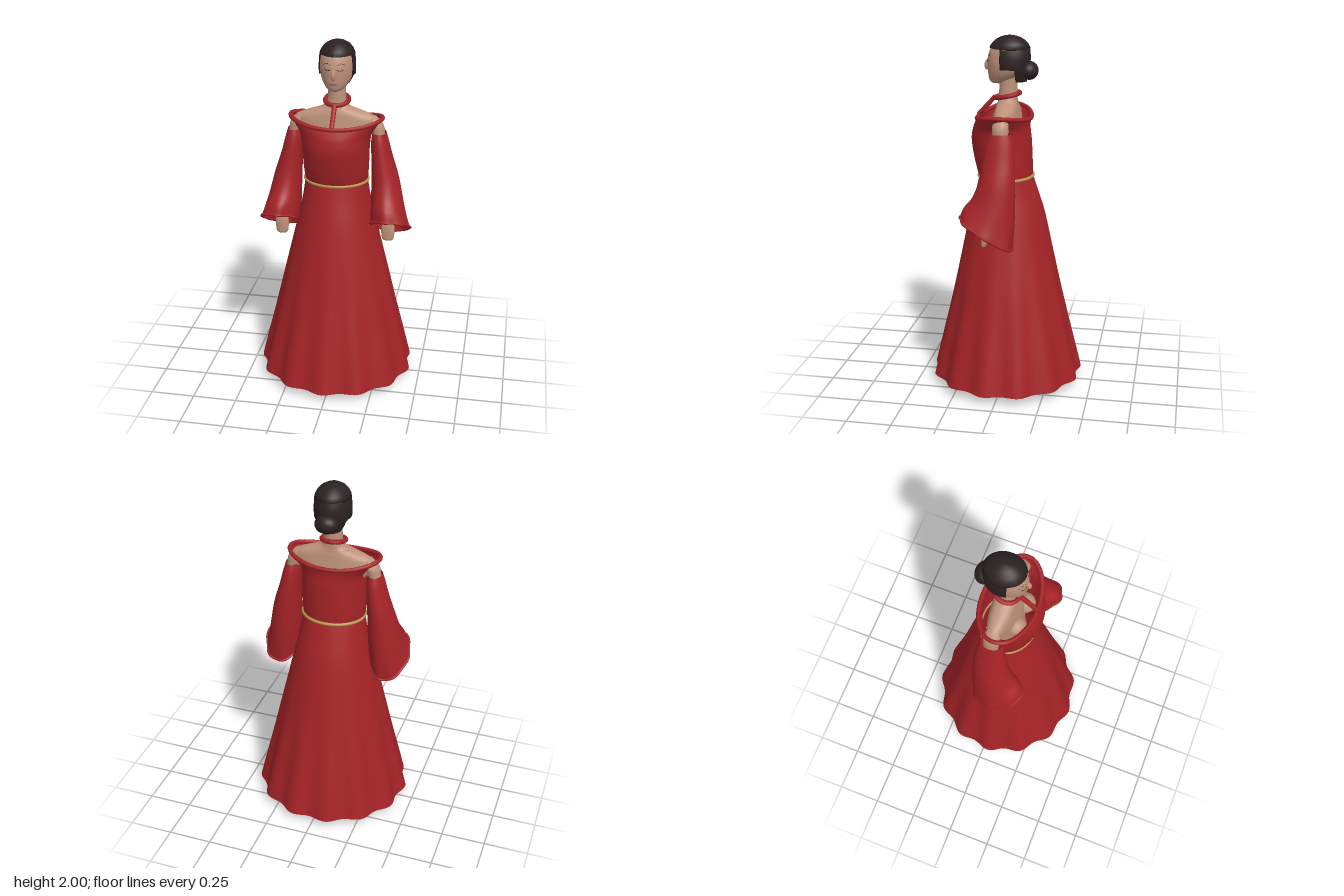
import * as THREE from 'three';

const mat = (name, color, side = THREE.FrontSide) => {
  const m = new THREE.MeshStandardMaterial({ color, side });
  m.name = name;
  return m;
};

// Catmull-Rom blend of rings, n steps per span
function smoothRings(rings, n) {
  const out = [];
  for (let i = 0; i < rings.length - 1; i++) {
    const p = [i - 1, i, i + 1, i + 2].map(k => rings[Math.min(Math.max(k, 0), rings.length - 1)]);
    for (let s = 0; s < n; s++) {
      const t = s / n;
      out.push(p[1].map((b, k) => {
        const a = p[0][k], c = p[2][k], d = p[3][k];
        return b + 0.5 * t * (c - a + t * (2 * a - 5 * b + 4 * c - d + t * (3 * (b - c) + d - a)));
      }));
    }
  }
  out.push(rings[rings.length - 1]);
  return out;
}

// Point on an elliptical ring [y, cx, cz, rx, rz, tilt, saddle, wave]; phi = 0 faces +z
function ringPoint([y, cx, cz, rx, rz, tilt = 0, saddle = 0, wave = 0], phi, lobes = 13, shift = 0) {
  const w = 1 + wave * Math.cos(lobes * phi + shift);
  return new THREE.Vector3(cx + rx * w * Math.sin(phi),
    y + tilt * Math.cos(phi) - saddle * Math.cos(2 * phi), cz + rz * w * Math.cos(phi));
}

// Skin closed rings, listed from bottom to top
function loft(rings, { seg = 40, steps = 4, caps = true, lobes = 13, shift = 0 } = {}) {
  const full = rings.map(r => [...r, 0, 0, 0].slice(0, 8));
  const rs = smoothRings(full, steps), pos = [], idx = [];
  rs.forEach(r => {
    for (let j = 0; j < seg; j++) pos.push(...ringPoint(r, j / seg * 2 * Math.PI, lobes, shift).toArray());
  });
  for (let i = 0; i < rs.length - 1; i++) for (let j = 0; j < seg; j++) {
    const a = i * seg + j, b = i * seg + (j + 1) % seg;
    idx.push(a, b, b + seg, a, b + seg, a + seg);
  }
  if (caps) {
    const last = (rs.length - 1) * seg, c = rs.length * seg, top = rs[rs.length - 1];
    pos.push(rs[0][1], rs[0][0], rs[0][2], top[1], top[0], top[2]);
    for (let j = 0; j < seg; j++) {
      const k = (j + 1) % seg;
      idx.push(c, k, j, c + 1, last + j, last + k);
    }
  }
  return buffer(pos, idx);
}

function buffer(pos, idx) {
  const g = new THREE.BufferGeometry();
  g.setAttribute('position', new THREE.Float32BufferAttribute(pos, 3));
  g.setIndex(idx);
  g.computeVertexNormals();
  return g;
}

// Round cord that follows a ring
function ringTube(ring, r, lobes, shift) {
  const pts = [];
  for (let j = 0; j < 64; j++) pts.push(ringPoint(ring, j / 64 * 2 * Math.PI, lobes, shift));
  return new THREE.TubeGeometry(new THREE.CatmullRomCurve3(pts, true), 128, r, 8, true);
}

const HEAD = [
  [1.738, 0, 0.052, 0.022, 0.03], [1.75, 0, 0.042, 0.046, 0.056], [1.78, 0, 0.022, 0.07, 0.084],
  [1.82, 0, 0.006, 0.086, 0.104], [1.87, 0, 0, 0.091, 0.111], [1.93, 0, -0.002, 0.084, 0.094],
  [1.965, 0, -0.005, 0.06, 0.066], [1.985, 0, -0.005, 0.02, 0.025]];

// Depth of the face surface at a given x, y
function faceZ(x, y) {
  const i = HEAD.findIndex((r, k) => k < HEAD.length - 1 && HEAD[k + 1][0] >= y);
  const t = (y - HEAD[i][0]) / (HEAD[i + 1][0] - HEAD[i][0]);
  const [, , cz, rx, rz] = HEAD[i].map((v, k) => v + t * (HEAD[i + 1][k] - v));
  return cz + rz * Math.sqrt(Math.max(0, 1 - (x / rx) ** 2));
}

// Hair shell [y, rx, rz, cz, opening angle at the face], with edges tucked to the scalp
function hairShell() {
  const rings = [
    [1.75, 0.058, 0.066, -0.04, 1.8], [1.78, 0.08, 0.088, -0.025, 1.92], [1.818, 0.098, 0.106, -0.013, 2.0],
    [1.82, 0.1, 0.108, -0.012, 1.19], [1.87, 0.1, 0.115, -0.012, 1.2], [1.926, 0.096, 0.113, -0.012, 1.2],
    [1.928, 0.086, 0.1, -0.009, 0], [1.932, 0.095, 0.112, -0.012, 0], [1.955, 0.085, 0.1, -0.013, 0],
    [1.975, 0.068, 0.08, -0.013, 0], [1.99, 0.044, 0.053, -0.013, 0], [1.998, 0.02, 0.025, -0.013, 0],
    [2.0, 0.001, 0.001, -0.013, 0]];
  const n = 48, pos = [], idx = [];
  rings.forEach(([y, rx, rz, cz, a], i) => {
    for (let j = 0; j <= n; j++) {
      const k = a > 0 && (j === 0 || j === n) ? 0.87 : 1;
      const u = Math.min(Math.max((j - 1) / (n - 2), 0), 1);
      const phi = a > 0 ? a + u * 2 * (Math.PI - a) : u * 2 * Math.PI;
      pos.push(rx * k * Math.sin(phi), y, cz + rz * k * Math.cos(phi));
      if (i < rings.length - 1 && j < n) {
        const p = i * (n + 1) + j, q = p + n + 1;
        idx.push(p, p + 1, q + 1, p, q + 1, q);
      }
    }
  });
  return buffer(pos, idx);
}

export function createModel() {
  const model = new THREE.Group();
  const red = mat('red cloth', 0xa52327, THREE.DoubleSide);
  const skin = mat('skin', 0xbd927a);
  const hair = mat('dark hair', 0x2b2122, THREE.DoubleSide);
  const gold = mat('gold', 0xb8964f);
  const lip = mat('lips', 0x8c5048);
  const add = (name, geo, m, parent = model) => {
    const mesh = new THREE.Mesh(geo, m);
    mesh.name = name;
    parent.add(mesh);
    return mesh;
  };

  // Gown
  add('skirt', loft([
    [0.05, 0, 0, 0.436, 0.422, 0, 0, 0.03], [0.2, 0, 0, 0.402, 0.388, 0, 0, 0.026],
    [0.4, 0, 0, 0.355, 0.342, 0, 0, 0.018], [0.6, 0, 0, 0.31, 0.298, 0, 0, 0.01],
    [0.8, 0, 0, 0.263, 0.256, 0, 0, 0.004], [1.0, 0, 0, 0.216, 0.213], [1.12, 0, 0.003, 0.19, 0.178],
    [1.215, 0, 0.008, 0.175, 0.15]], { seg: 156, caps: false, shift: 0.5 }), red);
  add('bodice', loft([
    [1.215, 0, 0.008, 0.175, 0.15], [1.3, 0, 0.02, 0.182, 0.16], [1.42, 0, 0.033, 0.187, 0.167],
    [1.49, 0, 0.033, 0.197, 0.159, 0, 0.004], [1.53, 0, 0.027, 0.224, 0.153, 0, 0.01],
    [1.566, 0, 0.018, 0.254, 0.148, 0, 0.017]], { seg: 64, caps: false }), red);
  add('necklineRim', ringTube([1.567, 0, 0.017, 0.254, 0.148, 0, 0.017], 0.012), red);
  add('belt', ringTube([1.222, 0, 0.008, 0.176, 0.151], 0.009), gold);
  add('collar', ringTube([1.672, 0, 0, 0.064, 0.068, -0.014], 0.013), red);
  add('collarStrap', new THREE.TubeGeometry(new THREE.LineCurve3(
    new THREE.Vector3(0, 1.66, 0.072), new THREE.Vector3(0, 1.558, 0.165)), 1, 0.013, 10), red);

  // Body
  add('torso', loft([
    [0.84, 0, 0, 0.13, 0.09], [1.0, 0, 0, 0.155, 0.105], [1.2, 0, 0, 0.135, 0.09], [1.35, 0, 0, 0.15, 0.09],
    [1.45, 0, 0, 0.17, 0.085], [1.52, 0, 0, 0.222, 0.075], [1.57, 0, 0, 0.232, 0.066],
    [1.598, 0, 0, 0.19, 0.062], [1.618, 0, 0, 0.13, 0.058], [1.64, 0, -0.002, 0.07, 0.054],
    [1.68, 0, -0.004, 0.051, 0.051], [1.79, 0, -0.005, 0.047, 0.05]]), skin);

  // Head, hair and face
  add('head', loft(HEAD), skin);
  add('hair', hairShell(), hair);
  const bun = add('hairBun', new THREE.SphereGeometry(1, 32, 20), hair);
  bun.scale.set(0.064, 0.051, 0.051);
  bun.position.set(0, 1.81, -0.119);
  const nose = add('nose', new THREE.SphereGeometry(1, 16, 12), skin);
  nose.scale.set(0.013, 0.03, 0.018);
  nose.position.set(0, 1.838, 0.111);
  nose.rotation.x = -0.15;
  const faceLine = (name, pts, m, r = 0.0025) => add(name, new THREE.TubeGeometry(
    new THREE.CatmullRomCurve3(pts.map(([x, y]) => new THREE.Vector3(x, y, faceZ(x, y)))), 12, r, 6), m);
  faceLine('mouth', [[-0.022, 1.787], [0, 1.784], [0.022, 1.787]], lip, 0.004);

  for (const s of [1, -1]) {
    const side = s > 0 ? 'left' : 'right';
    // Mirror a ring list to this side
    const mir = rings => rings.map(([y, cx, ...rest]) => [y, s * cx, ...rest]);

    faceLine(side + 'Brow', [[s * 0.018, 1.888], [s * 0.038, 1.896], [s * 0.058, 1.886]], hair);
    faceLine(side + 'Eye', [[s * 0.018, 1.864], [s * 0.034, 1.859], [s * 0.052, 1.865]], hair);

    const bust = add(side + 'Bust', new THREE.SphereGeometry(0.056, 24, 16), skin);
    bust.position.set(s * 0.07, 1.42, 0.075);

    // Arm and hand
    add(side + 'Arm', loft(mir([
      [1.02, 0.306, 0.06, 0.024, 0.022], [1.2, 0.285, 0.02, 0.032, 0.032], [1.35, 0.255, 0, 0.036, 0.038],
      [1.48, 0.233, 0, 0.036, 0.042], [1.54, 0.218, 0, 0.04, 0.045], [1.585, 0.195, 0, 0.025, 0.03]]),
      { seg: 24 }), skin);
    add(side + 'Hand', loft(mir([
      [0.888, 0.303, 0.076, 0.02, 0.009], [0.9, 0.303, 0.076, 0.033, 0.015], [0.95, 0.303, 0.073, 0.038, 0.019],
      [0.99, 0.304, 0.068, 0.034, 0.02], [1.04, 0.306, 0.058, 0.024, 0.021]]), { seg: 24 }), skin);

    // Wide slanted sleeve with a ruffled hem
    const hem = [0.968, 0.313, 0.062, 0.109, 0.143, 0.085, 0.004, 0.035];
    add(side + 'Sleeve', loft(mir([
      hem, [1.03, 0.302, 0.05, 0.1, 0.137, 0.07, 0, 0.015], [1.12, 0.289, 0.026, 0.089, 0.118, 0.035],
      [1.24, 0.274, 0.01, 0.076, 0.1], [1.36, 0.253, 0.002, 0.059, 0.086], [1.45, 0.24, 0, 0.048, 0.074],
      [1.5, 0.236, 0, 0.037, 0.058]]), { seg: 72, caps: false, lobes: 7, shift: s }), red);
    add(side + 'SleeveHem', ringTube(mir([hem])[0], 0.007, 7, s), red);

    // Leg, foot and sandal sole
    add(side + 'Leg', loft(mir([
      [0.03, 0.112, -0.01, 0.032, 0.038], [0.09, 0.11, -0.008, 0.03, 0.034], [0.3, 0.105, -0.01, 0.048, 0.052],
      [0.48, 0.098, 0, 0.05, 0.052], [0.75, 0.088, 0, 0.075, 0.078], [0.95, 0.08, 0, 0.075, 0.085]]),
      { seg: 28 }), skin);
    const foot = add(side + 'Foot', new THREE.SphereGeometry(1, 28, 16), skin);
    foot.scale.set(0.037, 0.03, 0.118);
    foot.position.set(s * 0.115, 0.034, 0.065);
    foot.rotation.x = 0.08;
    const sole = add(side + 'SandalSole', new THREE.CylinderGeometry(1, 1, 0.012, 40), gold);
    sole.scale.set(0.047, 1, 0.142);
    sole.position.set(s * 0.115, 0.006, 0.067);
  }
  return model;
}
